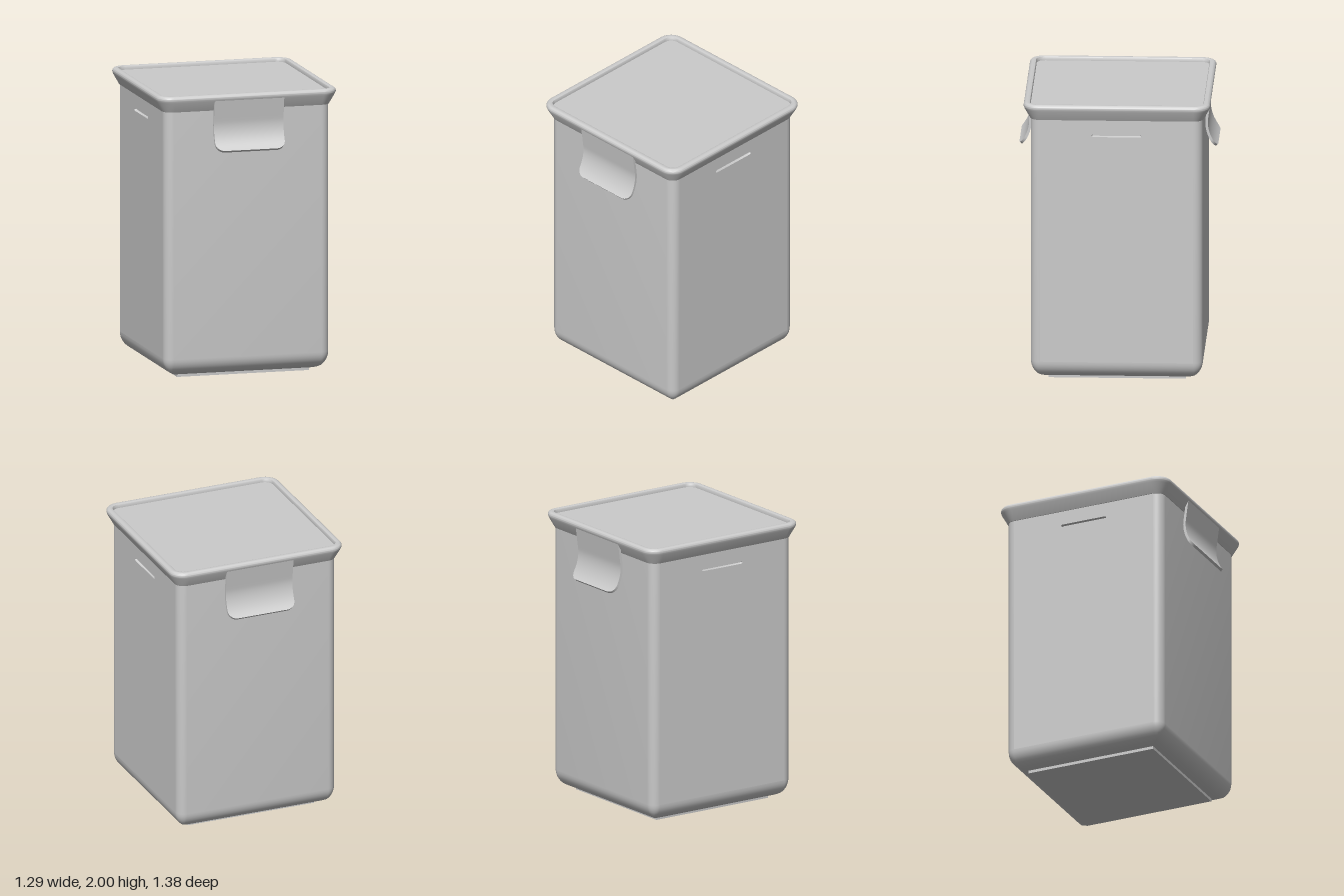
import * as THREE from 'three';
import { toCreasedNormals } from 'three/addons/utils/BufferGeometryUtils.js';

const HALF = 0.595, CORNER = 0.065, WALL_LOW = 0.145, WALL_HIGH = 1.9;
const SEG = 10; // segments per rounded corner

const material = new THREE.MeshStandardMaterial({ color: 0xcccccc });

function makeMesh(name, geometry) {
  const mesh = new THREE.Mesh(geometry, material);
  mesh.name = name;
  return mesh;
}

// Joins rings of equal point count; skip(row, column) leaves an opening
function joinRings(rings, skip = () => false, crease = 0.6) {
  const n = rings[0].length, index = [];
  for (let i = 0; i < rings.length - 1; i++) {
    for (let j = 0; j < n; j++) {
      if (skip(i, j)) continue;
      const k = (j + 1) % n;
      const a = i * n + j, b = i * n + k, c = a + n, d = b + n;
      index.push(a, b, d, a, d, c);
    }
  }
  const geometry = new THREE.BufferGeometry();
  geometry.setAttribute('position', new THREE.Float32BufferAttribute(rings.flat(2), 3));
  geometry.setIndex(index);
  return toCreasedNormals(geometry, crease);
}

// Rounded square ring at height y
function squareRing([half, radius, y]) {
  const ring = [], c = half - radius;
  for (let k = 0; k < 4; k++) {
    const mid = (k + 0.5) * Math.PI / 2;
    for (let s = 0; s <= SEG; s++) {
      const a = (k + s / SEG) * Math.PI / 2;
      ring.push([
        Math.sign(Math.cos(mid)) * c + radius * Math.cos(a), y,
        -Math.sign(Math.sin(mid)) * c - radius * Math.sin(a),
      ]);
    }
  }
  return ring;
}

// Outline of a slot with round ends, centred on (0, y)
function slotPoints(halfLength, radius, y) {
  const points = [];
  for (let e = 0; e < 2; e++) {
    for (let s = 0; s <= 8; s++) {
      const a = -Math.PI / 2 + (e + s / 8) * Math.PI;
      points.push(new THREE.Vector2(
        (e ? -1 : 1) * (halfLength - radius) + radius * Math.cos(a), y + radius * Math.sin(a)));
    }
  }
  return points;
}

function createBody() {
  const rows = [[0, 0, 0.02]];
  for (let s = 0; s <= 10; s++) {
    const a = s / 10 * Math.PI / 2, inset = 0.125 * (1 - Math.sin(a));
    rows.push([HALF - inset, Math.max(CORNER - inset, 0.012), 0.02 + 0.125 * (1 - Math.cos(a))]);
  }
  rows.push([HALF, CORNER, WALL_HIGH]);
  const wallRow = rows.length - 2, step = SEG + 1;
  // the two side walls are left open for the slotted panels
  return joinRings(rows.map(squareRing),
    (i, j) => i === wallRow && (j === 2 * step - 1 || j === 4 * step - 1));
}

// Side wall with its shallow, sloped slot
function createSidePanel() {
  const group = new THREE.Group();
  const w = HALF - CORNER, depth = 0.018;
  const outer = slotPoints(0.172, 0.01, 1.775), inner = slotPoints(0.167, 0.005, 1.775);
  const wall = new THREE.Shape([
    new THREE.Vector2(-w, WALL_LOW), new THREE.Vector2(w, WALL_LOW),
    new THREE.Vector2(w, WALL_HIGH), new THREE.Vector2(-w, WALL_HIGH),
  ]);
  wall.holes.push(new THREE.Path(outer));
  group.add(makeMesh('sideWall', new THREE.ShapeGeometry(wall)));
  group.add(makeMesh('slotEdge', joinRings([
    inner.map((p) => [p.x, p.y, -depth]), outer.map((p) => [p.x, p.y, 0]),
  ].reverse())));
  const floor = makeMesh('slotFloor', new THREE.ShapeGeometry(new THREE.Shape(inner)));
  floor.position.z = -depth;
  group.add(floor);
  return group;
}

function createLid() {
  const rows = [[0.58, 0.055, 1.885], [0.6, 0.07, 1.885], [0.639, 0.105, 1.955]];
  // rounded outer lip
  for (let s = 0; s <= 8; s++) {
    const a = -0.4 + s / 8 * (Math.PI / 2 + 0.4);
    const half = 0.622 + 0.023 * Math.cos(a);
    rows.push([half, half - 0.54, 1.977 + 0.023 * Math.sin(a)]);
  }
  // inner edge and sunken top
  rows.push([0.609, 0.069, 2], [0.602, 0.063, 1.997], [0.598, 0.06, 1.99],
    [0.598, 0.06, 1.972], [0, 0, 1.972]);
  return joinRings(rows.map(squareRing));
}

// Springy clip: a straight tongue that curls outward, with rounded lower corners
function createClip() {
  const path = new THREE.CurvePath();
  path.add(new THREE.LineCurve(new THREE.Vector2(0.633, 1.975), new THREE.Vector2(0.611, 1.81)));
  path.add(new THREE.CubicBezierCurve(
    new THREE.Vector2(0.611, 1.81), new THREE.Vector2(0.602, 1.74),
    new THREE.Vector2(0.63, 1.655), new THREE.Vector2(0.682, 1.606)));
  const length = path.getLength(), r = 0.065, t = 0.009, rings = [];
  const stations = [];
  for (let s = 0; s < 20; s++) stations.push((length - r) * s / 20);
  for (let s = 0; s <= 10; s++) stations.push(length - r + r * Math.sin(s / 10 * Math.PI / 2));
  const ringAt = (d, thick) => {
    const u = Math.min(d / length, 1), p = path.getPointAt(u);
    const q = path.getPointAt(Math.max(u - 0.005, 0)), q2 = path.getPointAt(Math.min(u + 0.005, 1));
    const tan = q2.sub(q).normalize();
    const nz = -tan.y * thick, ny = tan.x * thick;
    const over = Math.max(0, d - (length - r));
    const w = 0.25 - r + Math.sqrt(Math.max(0, r * r - over * over));
    return [
      [-w, p.y + ny, p.x + nz], [w, p.y + ny, p.x + nz],
      [w, p.y - ny, p.x - nz], [-w, p.y - ny, p.x - nz],
    ];
  };
  rings.push(ringAt(0, 0));
  stations.forEach((d) => rings.push(ringAt(d, t)));
  rings.push(ringAt(length, 0));
  return joinRings(rings.reverse());
}

export function createModel() {
  const model = new THREE.Group();
  model.name = 'container';

  model.add(makeMesh('body', createBody()));
  model.add(makeMesh('lid', createLid()));

  const foot = makeMesh('basePlate', new THREE.BoxGeometry(0.95, 0.024, 0.95));
  foot.position.y = 0.012;
  model.add(foot);

  const clipGeometry = createClip();
  for (const side of [1, -1]) {
    const panel = createSidePanel();
    panel.name = side > 0 ? 'leftSide' : 'rightSide';
    panel.position.x = side * HALF;
    panel.rotation.y = side * Math.PI / 2;
    model.add(panel);

    const clip = makeMesh(side > 0 ? 'frontClip' : 'backClip', clipGeometry);
    clip.rotation.y = side > 0 ? 0 : Math.PI;
    model.add(clip);
  }
  return model;
}
